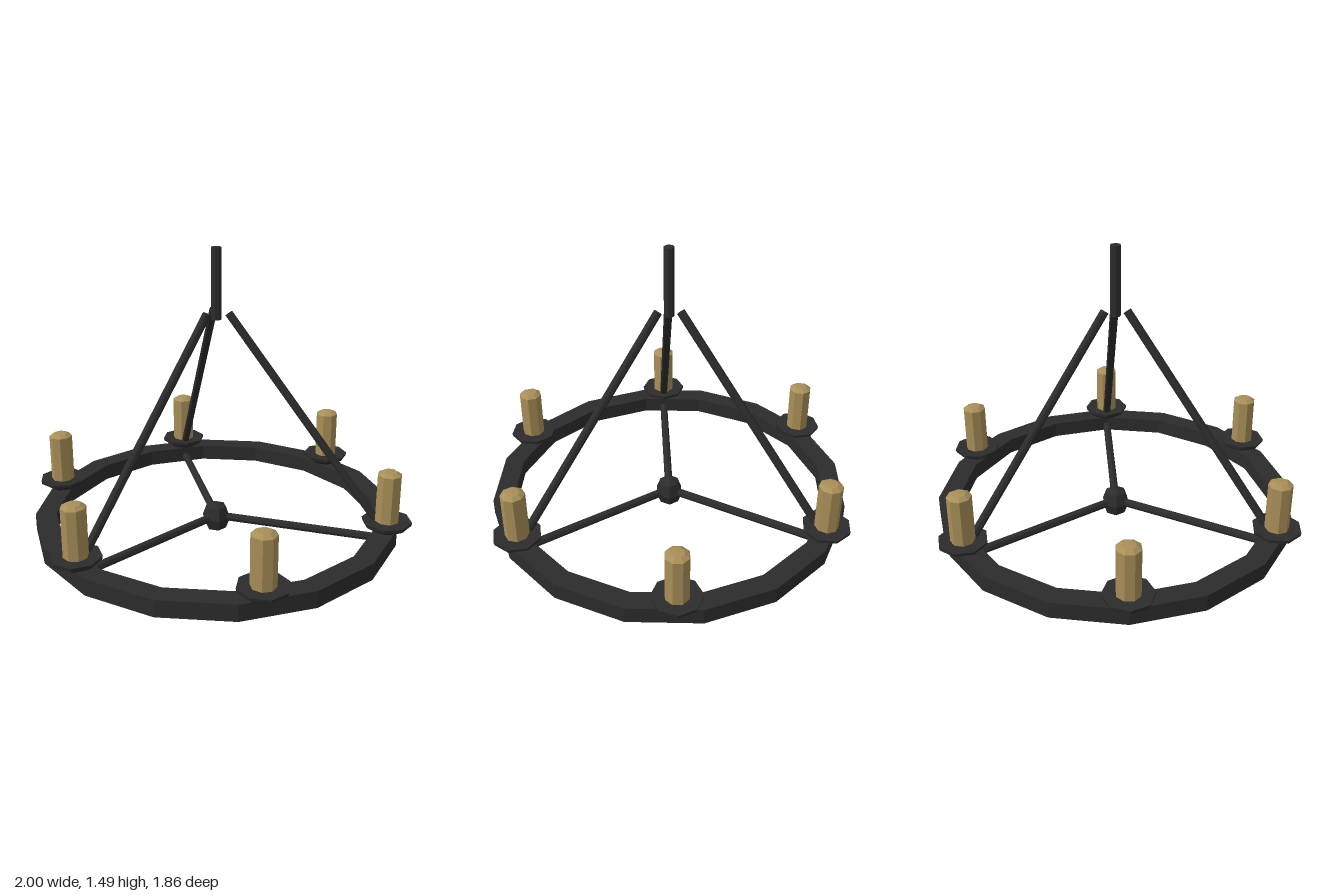
import * as THREE from 'three';

export function createModel() {
  const model = new THREE.Group();
  const iron = new THREE.MeshStandardMaterial({ color: 0x2c2c2c, flatShading: true });
  iron.name = 'dark iron';
  const wax = new THREE.MeshStandardMaterial({ color: 0xa98f58, flatShading: true });
  wax.name = 'golden wax';

  const add = (parent, name, geometry, material) => {
    const mesh = new THREE.Mesh(geometry, material);
    mesh.name = name;
    parent.add(mesh);
    return mesh;
  };
  const lathe = (points, sides) =>
    new THREE.LatheGeometry(points.map(([r, y]) => new THREE.Vector2(r, y)), sides);

  // Round bar between two points
  const bar = (parent, name, from, to, radius) => {
    const a = new THREE.Vector3(...from);
    const b = new THREE.Vector3(...to);
    const dir = b.clone().sub(a);
    const mesh = add(parent, name, new THREE.CylinderGeometry(radius, radius, dir.length(), 8), iron);
    mesh.position.copy(a).add(b).multiplyScalar(0.5);
    mesh.quaternion.setFromUnitVectors(new THREE.Vector3(0, 1, 0), dir.normalize());
  };

  // Sixteen-sided hoop with a square section
  add(model, 'ring', lathe(
    [[0.825, 0.058], [0.93, 0.058], [0.93, 0.143], [0.825, 0.143], [0.825, 0.058]], 16), iron);

  // Stem at the top and hub at the middle of the ring
  bar(model, 'stem', [0, 1.145, 0], [0, 1.495, 0], 0.026);
  const hub = add(model, 'hub', new THREE.SphereGeometry(0.085, 6, 4), iron);
  hub.scale.set(0.88, 1, 0.88);
  hub.position.y = 0.086;

  // Six candles in drip cups; every second one carries a hanger rod and a spoke
  const cup = lathe([[0, 0.138], [0.06, 0.138], [0.12, 0.177], [0.123, 0.194], [0, 0.19]], 8);
  const candle = lathe([[0, 0.188], [0.06, 0.188], [0.06, 0.438], [0.035, 0.453], [0, 0.455]], 8);
  candle.rotateY(Math.PI / 8);
  for (let i = 0; i < 6; i++) {
    const arm = new THREE.Group();
    arm.name = 'arm';
    arm.rotation.y = -i * Math.PI / 3;
    add(arm, 'dripCup', cup, iron).position.x = 0.877;
    add(arm, 'candle', candle, wax).position.x = 0.877;
    if (i % 2 === 0) {
      bar(arm, 'hangerRod', [0.062, 1.18, 0], [0.86, 0.14, 0], 0.021);
      bar(arm, 'spoke', [0, 0.09, 0], [0.87, 0.09, 0], 0.021);
    }
    model.add(arm);
  }
  return model;
}
